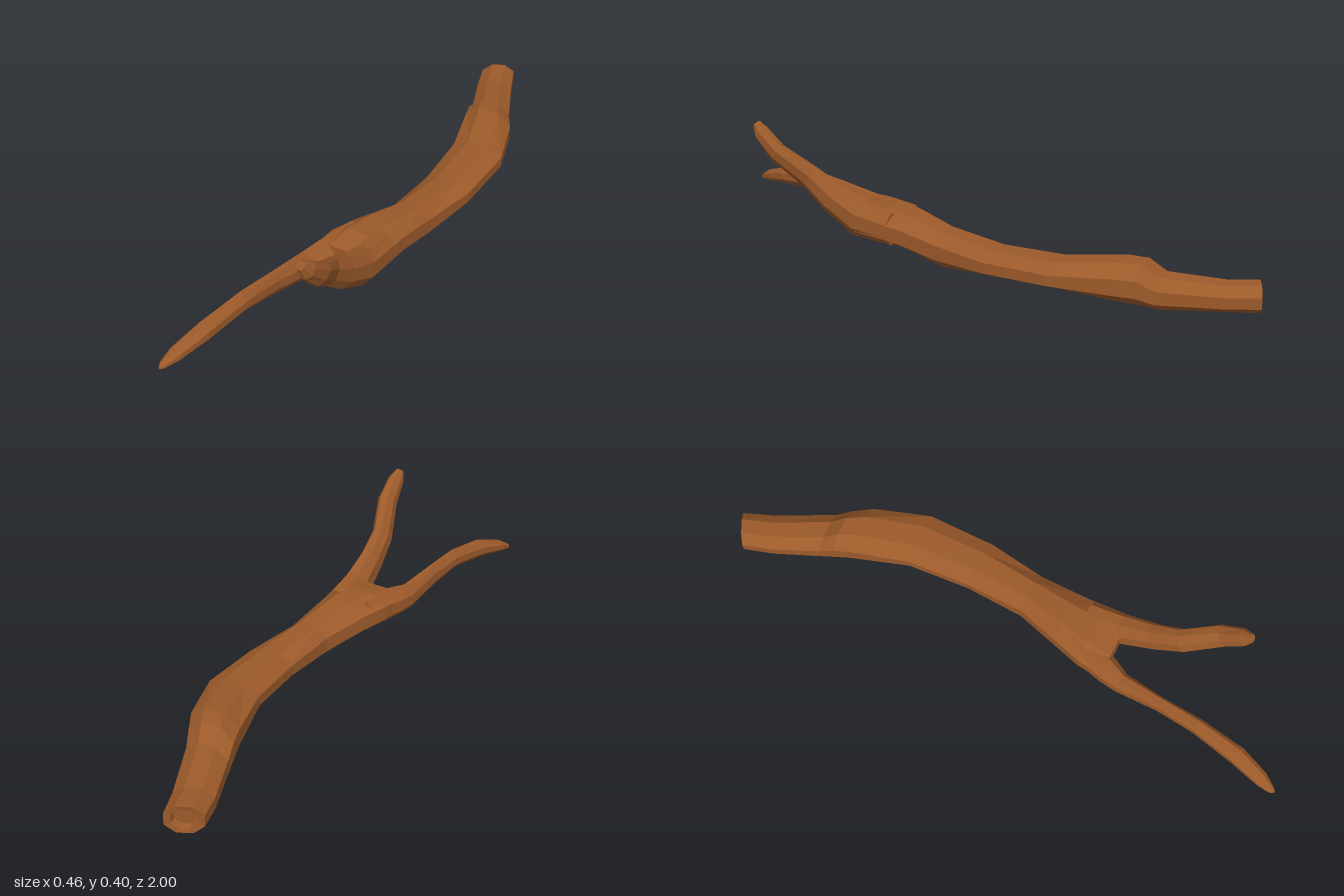
import * as THREE from 'three';

const SIDES = 8;

// One faceted ring: [left x, left z, right x, right z, bottom y, top y, tilt]
function ringPoints([x0, z0, x1, z1, yb, yt, tilt = 0]) {
  const k = 0.5 / Math.cos(Math.PI / SIDES); // flat sides reach the given extents
  return Array.from({ length: SIDES }, (_, i) => {
    const a = ((i + 0.5) / SIDES) * Math.PI * 2;
    const c = Math.cos(a) * k, s = Math.sin(a) * k;
    const dy = (yt - yb) * s;
    return new THREE.Vector3(
      (x0 + x1) / 2 + (x1 - x0) * c,
      (yb + yt) / 2 + dy,
      (z0 + z1) / 2 + (z1 - z0) * c - dy * tilt
    );
  });
}

// Skin a row of rings running towards +z, closed at both ends
function loft(sections) {
  const rings = sections.map(ringPoints);
  const pos = [];
  const tri = (...pts) => pts.forEach((p) => pos.push(p.x, p.y, p.z));
  for (let i = 0; i < rings.length - 1; i++) {
    for (let j = 0; j < SIDES; j++) {
      const n = (j + 1) % SIDES;
      const a = rings[i][j], b = rings[i][n], c = rings[i + 1][n], d = rings[i + 1][j];
      tri(a, b, d);
      tri(b, c, d);
    }
  }
  const first = rings[0], last = rings[rings.length - 1];
  for (let j = 1; j < SIDES - 1; j++) {
    tri(first[0], first[j + 1], first[j]);
    tri(last[0], last[j], last[j + 1]);
  }
  const geo = new THREE.BufferGeometry();
  geo.setAttribute('position', new THREE.Float32BufferAttribute(pos, 3));
  geo.computeVertexNormals();
  return geo;
}

export function createModel() {
  const group = new THREE.Group();
  group.name = 'forkedBranch';
  const bark = new THREE.MeshStandardMaterial({ color: 0x9c5a2a, flatShading: true });
  bark.name = 'brown bark';

  const add = (name, sections) => {
    const mesh = new THREE.Mesh(loft(sections), bark);
    mesh.name = name;
    group.add(mesh);
  };

  // Bent main limb: hollowed broken end, knot on top, wide fork
  add('mainLimb', [
    [-0.202, -0.932, -0.142, -0.968, 0.027, 0.082],
    [-0.212, -0.948, -0.146, -0.988, 0.022, 0.088],
    [-0.23, -0.94, -0.13, -1.0, 0.01, 0.099],
    [-0.195, -0.85, -0.08, -0.9, 0.004, 0.09],
    [-0.122, -0.70, 0.02, -0.72, 0.0, 0.105],
    [-0.105, -0.65, 0.05, -0.67, 0.01, 0.143],
    [-0.085, -0.60, 0.09, -0.61, 0.02, 0.149],
    [-0.015, -0.41, 0.165, -0.43, 0.045, 0.128],
    [0.015, -0.2, 0.18, -0.2, 0.035, 0.12],
    [0.02, 0, 0.16, 0, 0.013, 0.133],
    [-0.02, 0.15, 0.16, 0.15, 0.033, 0.152],
    [-0.045, 0.25, 0.165, 0.25, 0.038, 0.155],
    [-0.05, 0.34, 0.165, 0.33, 0.045, 0.138],
  ]);

  // Long low twig that dips to a thin tip
  add('longTwig', [
    [-0.03, 0.2, 0.06, 0.2, 0.045, 0.145],
    [-0.057, 0.34, 0.03, 0.34, 0.042, 0.138],
    [-0.062, 0.4, -0.002, 0.41, 0.045, 0.13],
    [-0.06, 0.55, -0.02, 0.55, 0.07, 0.144],
    [-0.072, 0.68, -0.026, 0.69, 0.09, 0.151],
    [-0.094, 0.83, -0.04, 0.85, 0.075, 0.132],
    [-0.113, 0.94, -0.068, 0.95, 0.056, 0.096],
    [-0.113, 0.985, -0.09, 0.99, 0.05, 0.07],
    [-0.106, 1.0, -0.098, 1.0, 0.052, 0.06],
  ]);

  // Short twig that sweeps upwards
  add('raisedTwig', [
    [0.07, 0.2, 0.163, 0.2, 0.045, 0.152],
    [0.085, 0.33, 0.172, 0.33, 0.05, 0.168, 0.3],
    [0.105, 0.44, 0.176, 0.44, 0.115, 0.205, 0.6],
    [0.122, 0.53, 0.182, 0.52, 0.185, 0.252, 0.8],
    [0.173, 0.64, 0.226, 0.62, 0.272, 0.325, 0.9],
    [0.181, 0.695, 0.23, 0.69, 0.337, 0.378, 0.9],
    [0.189, 0.715, 0.217, 0.715, 0.375, 0.395, 0.8],
  ]);

  return group;
}
